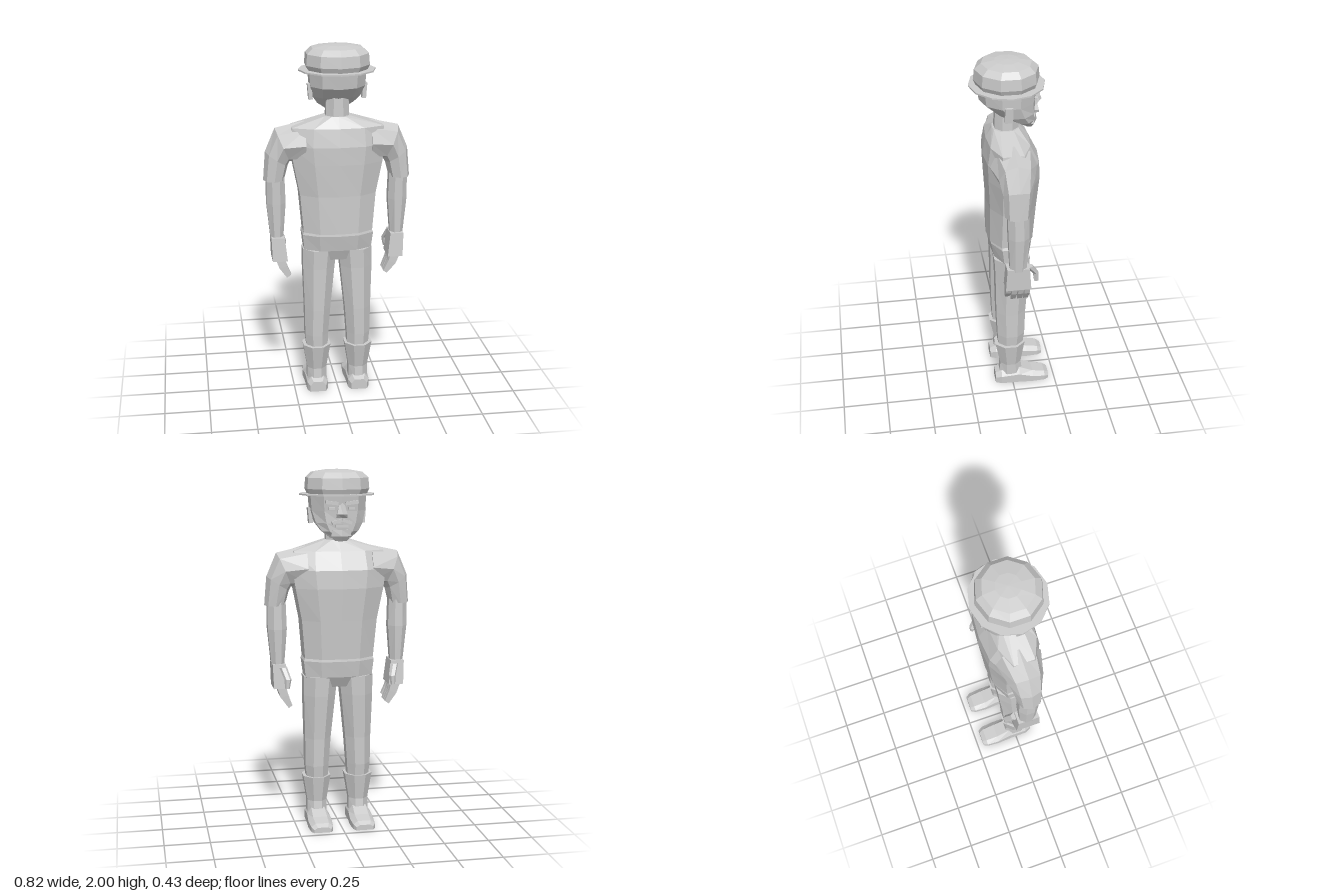
import * as THREE from 'three';

const grey = new THREE.MeshStandardMaterial({ color: 0xcccccc });
grey.name = 'plain grey';

// Mesh with faceted normals
function part(name, geometry) {
  const g = geometry.index ? geometry.toNonIndexed() : geometry;
  g.computeVertexNormals();
  const mesh = new THREE.Mesh(g, grey);
  mesh.name = name;
  return mesh;
}

// Skin a list of equal-sized point rings and cap both ends
function loft(name, rings) {
  const n = rings[0].length;
  const tris = [];
  for (let r = 0; r < rings.length - 1; r++) {
    for (let i = 0; i < n; i++) {
      const j = (i + 1) % n;
      const a = rings[r][i], b = rings[r][j], c = rings[r + 1][j], d = rings[r + 1][i];
      tris.push([a, b, c], [a, c, d]);
    }
  }
  const first = rings[0], last = rings[rings.length - 1];
  for (let i = 1; i < n - 1; i++) {
    tris.push([first[0], first[i + 1], first[i]], [last[0], last[i], last[i + 1]]);
  }
  // Signed volume decides the winding, so mirrored parts also face outwards
  const cross = new THREE.Vector3();
  const volume = tris.reduce((sum, [a, b, c]) => sum + a.dot(cross.crossVectors(b, c)), 0);
  const points = tris.flatMap(([a, b, c]) => (volume < 0 ? [a, c, b] : [a, b, c]));
  return part(name, new THREE.BufferGeometry().setFromPoints(points));
}

// Horizontal ring, front (-z) to back (+z); half-step phase gives flat sides
function ring(cx, y, rx, front, back, n = 8, phase = Math.PI / n) {
  const k = 1 / Math.cos(phase);
  const cz = (front + back) / 2, rz = (back - front) / 2;
  return Array.from({ length: n }, (_, i) => {
    const t = phase + (i / n) * Math.PI * 2;
    return new THREE.Vector3(cx + Math.cos(t) * rx * k, y, cz + Math.sin(t) * rz * k);
  });
}

// Ring tilted about z, for sleeves and fingers
function tilted(side, cx, cy, cz, ru, rz, degrees, n = 8, phase = 0) {
  const a = THREE.MathUtils.degToRad(degrees), k = 1 / Math.cos(phase);
  return Array.from({ length: n }, (_, i) => {
    const t = phase + (i / n) * Math.PI * 2, u = Math.cos(t) * ru * k;
    return new THREE.Vector3(side * (cx + Math.cos(a) * u), cy + Math.sin(a) * u, cz + Math.sin(t) * rz * k);
  });
}

// Body ring with flat sides and a gently pointed chest and back
const BODY = [[1, 0.5], [0.55, 0.92], [0, 1], [-0.55, 0.92], [-1, 0.5],
  [-1, -0.5], [-0.55, -0.92], [0, -1], [0.55, -0.92], [1, -0.5]];
const bodyRing = (y, rx, front, back) => BODY.map(([x, z]) =>
  new THREE.Vector3(x * rx, y, (front + back) / 2 + z * (back - front) / 2));

function box(name, w, h, d, x, y, z, rx = 0, rz = 0) {
  const mesh = part(name, new THREE.BoxGeometry(w, h, d));
  mesh.position.set(x, y, z);
  mesh.rotation.set(rx, 0, rz);
  return mesh;
}

function createHead() {
  const head = new THREE.Group();
  head.name = 'head';
  head.add(
    loft('neck', [ring(0, 1.56, 0.065, -0.05, 0.08), ring(0, 1.74, 0.06, -0.05, 0.075)]),
    loft('skull', [
      ring(0, 1.635, 0.055, -0.125, -0.065, 10),
      ring(0, 1.67, 0.1, -0.135, -0.01, 10),
      ring(0, 1.715, 0.13, -0.138, 0.07, 10),
      ring(0, 1.78, 0.148, -0.14, 0.15, 10),
      ring(0, 1.87, 0.155, -0.15, 0.163, 10),
    ]),
    // Face
    loft('nose', [
      ring(0, 1.745, 0.03, -0.155, -0.11, 6),
      ring(0, 1.765, 0.028, -0.172, -0.11, 6),
      ring(0, 1.825, 0.013, -0.15, -0.11, 6),
    ]),
    box('mouth', 0.07, 0.012, 0.02, 0, 1.7, -0.133),
    loft('chinBeard', [
      ring(0, 1.618, 0.03, -0.13, -0.085, 6),
      ring(0, 1.645, 0.055, -0.145, -0.06, 6),
      ring(0, 1.68, 0.05, -0.143, -0.08, 6),
    ]),
  );
  for (const side of [-1, 1]) {
    head.add(
      box('ear', 0.022, 0.085, 0.042, side * 0.148, 1.75, 0.02, 0, -side * 0.08),
      box('eyebrow', 0.07, 0.018, 0.025, side * 0.055, 1.825, -0.14, 0, side * 0.12),
      box('eye', 0.035, 0.014, 0.015, side * 0.055, 1.795, -0.135),
      box('moustache', 0.055, 0.016, 0.025, side * 0.028, 1.725, -0.141, 0, -side * 0.3),
    );
  }
  // Hat
  head.add(
    loft('hatBrim', [
      ring(0, 1.861, 0.21, -0.193, 0.213, 12, 0),
      ring(0, 1.869, 0.21, -0.193, 0.213, 12, 0),
    ]),
    loft('hatCrown', [
      ring(0, 1.866, 0.158, -0.145, 0.165, 10),
      ring(0, 1.895, 0.171, -0.156, 0.178, 10),
      ring(0, 1.955, 0.166, -0.15, 0.172, 10),
      ring(0, 1.985, 0.135, -0.118, 0.138, 10),
      ring(0, 1.997, 0.065, -0.055, 0.072, 10),
      ring(0, 2.0, 0.005, 0.003, 0.013, 10),
    ]),
  );
  return head;
}

function createArm(side) {
  const arm = new THREE.Group();
  arm.name = side > 0 ? 'leftArm' : 'rightArm';
  arm.add(
    loft('sleeve', [
      tilted(side, 0.18, 1.47, 0, 0.115, 0.125, 90),
      tilted(side, 0.3, 1.455, 0, 0.103, 0.095, 67),
      tilted(side, 0.333, 1.38, 0, 0.074, 0.078, 33),
      tilted(side, 0.35, 1.26, 0.005, 0.058, 0.067, 0),
    ]),
    loft('forearm', [
      ring(side * 0.342, 1.28, 0.05, -0.055, 0.06),
      ring(side * 0.34, 1.13, 0.053, -0.058, 0.055),
      ring(side * 0.338, 0.92, 0.035, -0.045, 0.045),
    ]),
    loft('palm', [
      ring(side * 0.325, 0.8, 0.042, -0.07, 0.07, 4),
      ring(side * 0.335, 0.935, 0.037, -0.06, 0.062, 4),
    ]),
    loft('thumb', [
      tilted(side, 0.298, 0.81, -0.108, 0.013, 0.013, 0, 6),
      tilted(side, 0.295, 0.86, -0.105, 0.02, 0.018, 0, 6),
      tilted(side, 0.315, 0.92, -0.065, 0.022, 0.022, 0, 6),
    ]),
  );
  // Curled fingers
  [-0.052, -0.018, 0.018, 0.051].forEach((z, i) => {
    const tip = i === 3 ? 0.02 : 0;
    arm.add(loft('finger', [
      tilted(side, 0.275, 0.695 + tip, z, 0.013, 0.013, -35, 4, Math.PI / 4),
      tilted(side, 0.308, 0.755 + tip / 2, z, 0.022, 0.015, -20, 4, Math.PI / 4),
      tilted(side, 0.325, 0.81, z, 0.026, 0.015, 0, 4, Math.PI / 4),
    ]));
  });
  return arm;
}

function createLeg(side) {
  const leg = new THREE.Group();
  leg.name = side > 0 ? 'leftLeg' : 'rightLeg';
  const x = (v) => side * v;
  leg.add(
    loft('trouserLeg', [
      ring(x(0.118), 0.26, 0.06, -0.06, 0.08),
      ring(x(0.12), 0.34, 0.066, -0.07, 0.085),
      ring(x(0.115), 0.5, 0.073, -0.075, 0.092),
      ring(x(0.106), 0.75, 0.089, -0.095, 0.095),
      ring(x(0.1), 0.86, 0.095, -0.1, 0.1),
    ]),
    loft('bootShaft', [
      ring(x(0.12), 0.06, 0.055, -0.06, 0.075),
      ring(x(0.12), 0.13, 0.055, -0.05, 0.07),
      ring(x(0.12), 0.275, 0.078, -0.072, 0.1),
    ]),
    // Shoe sections from heel to toe: z, half width, height
    loft('shoe', [
      [0.1, 0.045, 0.06], [0.065, 0.06, 0.078], [-0.04, 0.062, 0.092],
      [-0.12, 0.067, 0.06], [-0.19, 0.062, 0.046], [-0.215, 0.048, 0.03],
    ].map(([z, w, h]) => [[-1, 0], [1, 0], [1, 0.6], [0.6, 1], [-0.6, 1], [-1, 0.6]]
      .map(([u, v]) => new THREE.Vector3(x(0.12) + u * w, v * h, z)))),
  );
  return leg;
}

export function createModel() {
  const model = new THREE.Group();
  model.name = 'figure';
  model.add(
    createHead(),
    loft('shirt', [
      bodyRing(0.965, 0.192, -0.128, 0.13),
      bodyRing(1.18, 0.21, -0.145, 0.13),
      bodyRing(1.36, 0.245, -0.16, 0.14),
      bodyRing(1.46, 0.26, -0.155, 0.143),
      bodyRing(1.56, 0.25, -0.105, 0.125),
      bodyRing(1.618, 0.07, -0.055, 0.09),
    ]),
    loft('hips', [
      bodyRing(0.8, 0.13, -0.075, 0.08),
      bodyRing(0.86, 0.188, -0.108, 0.105),
      bodyRing(0.95, 0.198, -0.122, 0.124),
      bodyRing(0.98, 0.185, -0.118, 0.12),
    ]),
  );
  for (const side of [-1, 1]) model.add(createArm(side), createLeg(side));
  return model;
}
